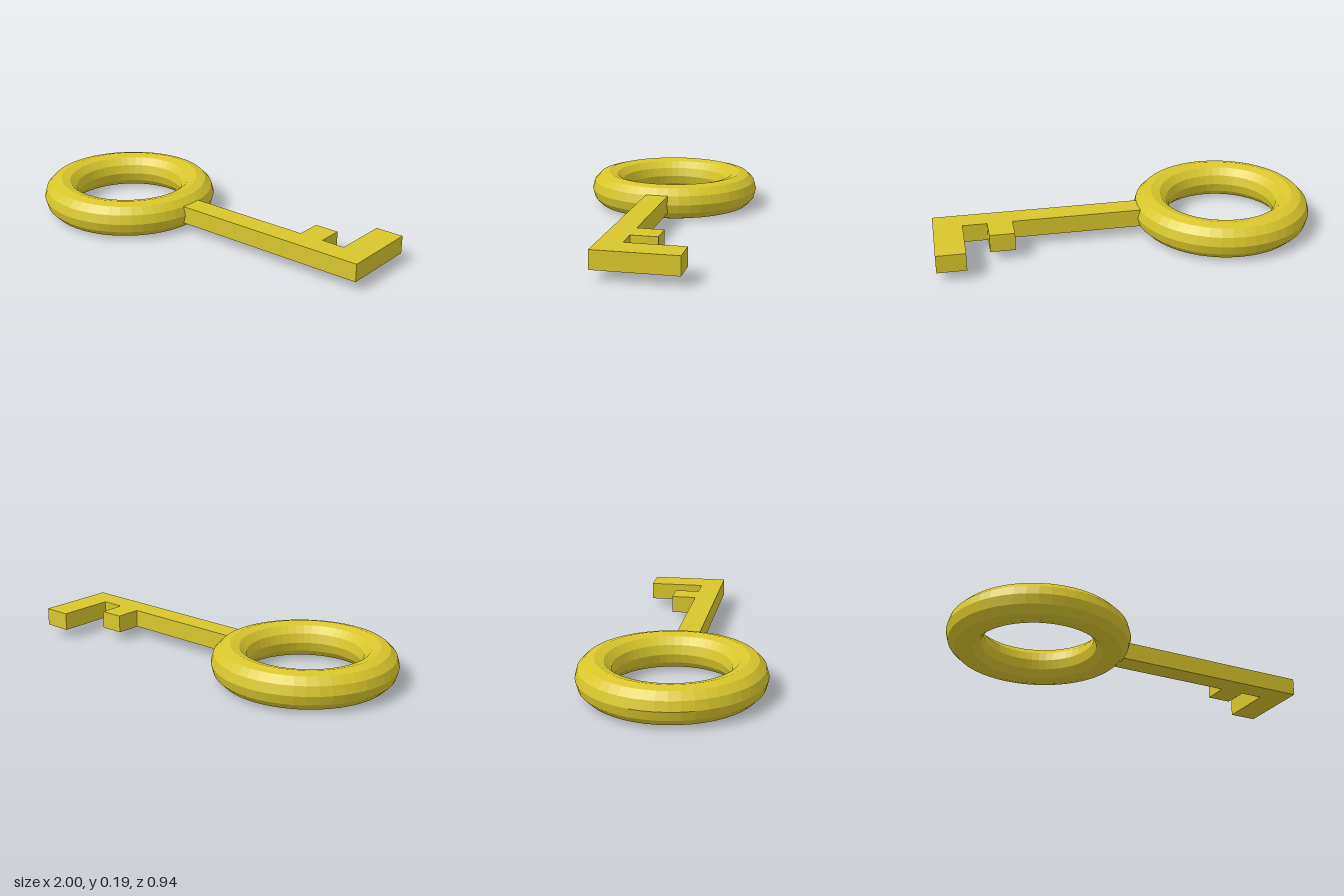
import * as THREE from 'three';

export function createModel() {
  const model = new THREE.Group();
  model.name = 'key';
  const brass = new THREE.MeshStandardMaterial({ color: 0xd8c62c, flatShading: true });
  brass.name = 'yellow brass';

  // Ring handle lying flat, twelve-sided in section
  const bow = new THREE.Mesh(new THREE.TorusGeometry(0.375, 0.095, 12, 48), brass);
  bow.name = 'ringHandle';
  bow.rotation.x = Math.PI / 2;
  bow.position.set(-0.53, 0.095, 0);
  model.add(bow);

  // Shaft with a short and a long tooth pointing back; outline is (x, -z)
  const outline = [
    [-0.1, -0.06], [1, -0.06], [1, 0.36], [0.85, 0.36], [0.85, 0.06],
    [0.725, 0.06], [0.725, 0.195], [0.595, 0.195], [0.595, 0.06], [-0.1, 0.06],
  ].map(([x, y]) => new THREE.Vector2(x, y));
  const shaftGeometry = new THREE.ExtrudeGeometry(new THREE.Shape(outline), {
    depth: 0.094,
    bevelEnabled: false,
  });
  shaftGeometry.rotateX(-Math.PI / 2);
  const shaft = new THREE.Mesh(shaftGeometry, brass);
  shaft.name = 'shaftAndTeeth';
  shaft.position.y = 0.05;
  model.add(shaft);

  return model;
}
